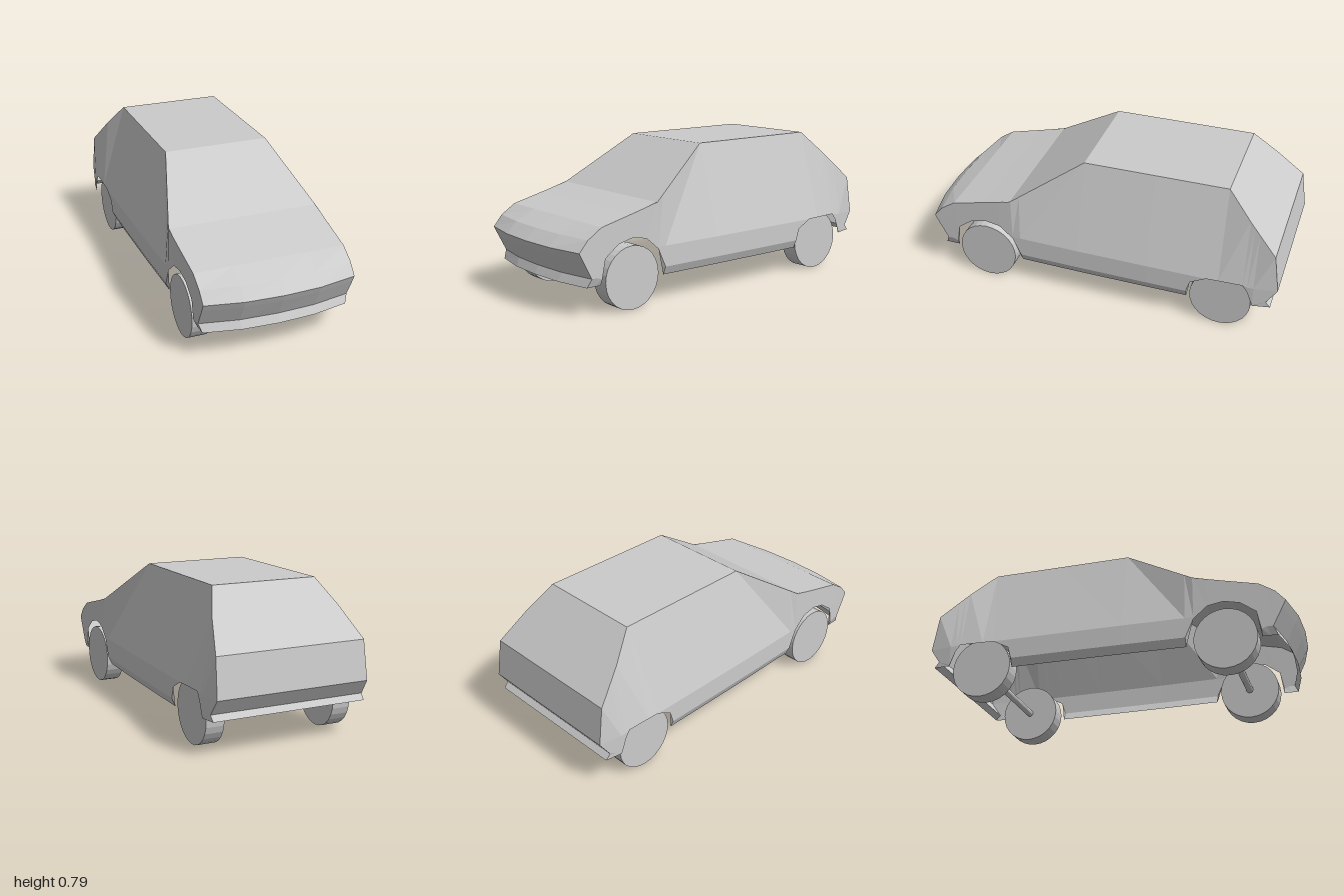
import * as THREE from 'three';

const paint = new THREE.MeshStandardMaterial({ color: 0xcccccc, flatShading: true, side: THREE.DoubleSide });

// Piecewise linear lookup in rows sorted by falling z: value in column k at z
function lookup(rows, z, k) {
  if (z >= rows[0][0]) return rows[0][k];
  for (let i = 1; i < rows.length; i++) {
    const a = rows[i - 1], b = rows[i];
    if (z >= b[0]) return THREE.MathUtils.mapLinear(z, a[0], b[0], a[k], b[k]);
  }
  return rows[rows.length - 1][k];
}

// Upper outline of the body side: z, y, half width, forward bulge at the middle
const upper = [
  [0.95, 0.337, 0.405, 0.05], [0.9, 0.395, 0.406, 0.037], [0.82, 0.447, 0.407, 0],
  [0.64, 0.49, 0.41, 0], [0.48, 0.53, 0.413, 0], [0.09, 0.785, 0.29, 0],
  [-0.69, 0.785, 0.29, 0], [-0.82, 0.655, 0.355, 0], [-0.97, 0.505, 0.41, 0],
];
// Half width at the waist line: z, x
const waist = [[0.95, 0.405], [0.48, 0.415], [0.09, 0.425], [-0.3, 0.43], [-0.877, 0.435], [-1, 0.417]];

// Half width of the side at a height and depth
function sideX(y, z) {
  const w = lookup(waist, z, 1), top = lookup(upper, z, 1), topX = lookup(upper, z, 2);
  if (y > 0.3) return THREE.MathUtils.lerp(w, topX, Math.min(1, (y - 0.3) / (top - 0.3)));
  if (y < 0.19) return w - 0.02 * (0.19 - y) / 0.045;
  return w;
}

// Sheet through a grid of points, skipping collapsed triangles
function sheet(grid, flip) {
  const pos = [];
  const tri = (a, b, c) => {
    const area = b.clone().sub(a).cross(c.clone().sub(a)).length();
    if (area < 1e-6) return;
    for (const p of flip ? [a, c, b] : [a, b, c]) pos.push(p.x, p.y, p.z);
  };
  for (let i = 0; i + 1 < grid.length; i++) {
    for (let j = 0; j + 1 < grid[i].length; j++) {
      const a = grid[i][j], b = grid[i][j + 1], c = grid[i + 1][j + 1], d = grid[i + 1][j];
      tri(a, b, c);
      tri(a, c, d);
    }
  }
  const g = new THREE.BufferGeometry();
  g.setAttribute('position', new THREE.Float32BufferAttribute(pos, 3));
  g.computeVertexNormals();
  return g;
}

function add(parent, name, geometry) {
  const mesh = new THREE.Mesh(geometry, paint);
  mesh.name = name;
  parent.add(mesh);
  return mesh;
}

export function createModel() {
  const car = new THREE.Group();
  car.name = 'car';

  // Front and rear corner edges, from bottom to top: z, y
  const frontEdge = [[0.9, 0.155], [0.88, 0.2], [0.932, 0.3], [0.95, 0.337]];
  const rearEdge = [[-0.97, 0.19], [-0.945, 0.22], [-1, 0.3], [-0.97, 0.505]];

  // Lower outline of the side with sill and wheel arches: z, y
  const lower = [
    [0.82, 0.155], [0.8, 0.29], [0.72, 0.35], [0.635, 0.37], [0.55, 0.355], [0.475, 0.29],
    [0.43, 0.145], [0.09, 0.145], [-0.3, 0.145], [-0.52, 0.145], [-0.54, 0.255], [-0.625, 0.3],
    [-0.69, 0.302], [-0.82, 0.305], [-0.845, 0.27], [-0.877, 0.185],
  ];
  const columns = [
    frontEdge,
    [[0.86, 0.155], [0.85, 0.2], [0.88, 0.3], [0.9, 0.395]],
    ...lower.map(([z, y]) => [y, Math.max(y, 0.19), Math.max(y, 0.3), lookup(upper, z, 1)].map((h) => [z, h])),
    rearEdge,
  ];

  // Body sides
  for (const s of [1, -1]) {
    const grid = columns.map((col) => col.map(([z, y]) => new THREE.Vector3(s * sideX(y, z), y, z)));
    add(car, s > 0 ? 'leftSide' : 'rightSide', sheet(grid, s > 0));
  }

  // Panels across the car; the nose bulges forward
  const across = (name, rows) => {
    const grid = rows.map(([z, y, x, bulge = 0]) => [-1, -0.5, 0, 0.5, 1].map((f) =>
      new THREE.Vector3(f * x, y, z + bulge * (1 - Math.abs(f) ** 2.3))));
    add(car, name, sheet(grid, false));
  };
  const edgeRow = (bulge) => ([z, y]) => [z, y, sideX(y, z), bulge];
  across('frontBumper', frontEdge.map(edgeRow(0.05)));
  across('hood', upper.slice(0, 5));
  across('windshield', upper.slice(4, 6));
  across('roof', upper.slice(5, 7));
  across('rearWindow', upper.slice(6, 9));
  across('tailgateAndRearBumper', rearEdge.slice().reverse().map(edgeRow(0)));

  // Wheels and axles
  for (const [name, z] of [['front', 0.635], ['rear', -0.7]]) {
    for (const s of [1, -1]) {
      const wheel = add(car, name + (s > 0 ? 'LeftWheel' : 'RightWheel'),
        new THREE.CylinderGeometry(0.165, 0.165, 0.098, 28));
      wheel.rotation.z = Math.PI / 2;
      wheel.position.set(s * 0.358, 0.165, z);
    }
    const axle = add(car, name + 'Axle', new THREE.CylinderGeometry(0.02, 0.02, 0.64, 12));
    axle.rotation.z = Math.PI / 2;
    axle.position.set(0, 0.165, z);
  }
  return car;
}
